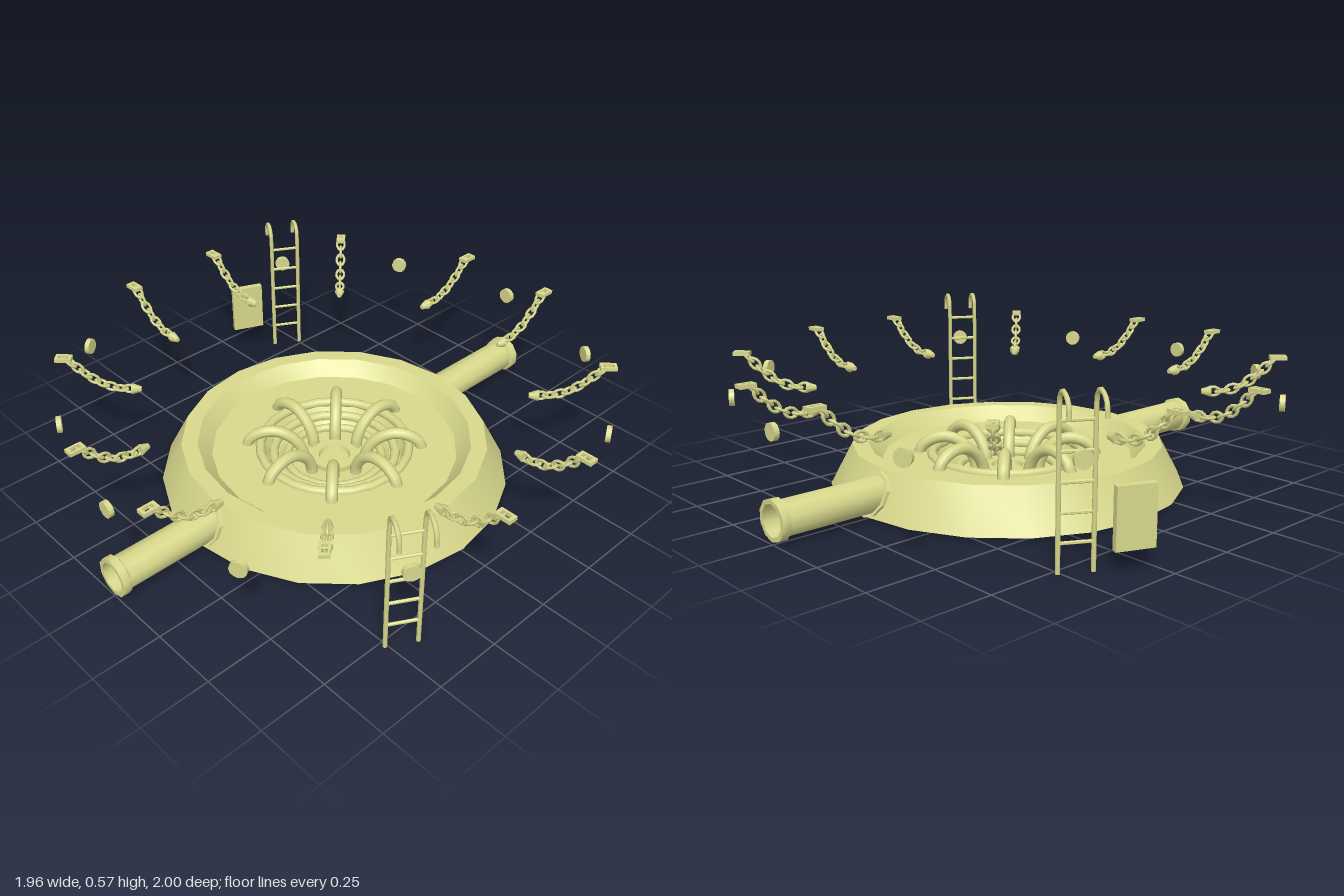
import * as THREE from 'three';
import { toCreasedNormals } from 'three/addons/utils/BufferGeometryUtils.js';

const material = new THREE.MeshStandardMaterial({ color: 0xd8d88c, side: THREE.DoubleSide });
const V = (x, y, z = 0) => new THREE.Vector3(x, y, z);

function add(parent, name, geometry, x = 0, y = 0, z = 0) {
  const mesh = new THREE.Mesh(geometry, material);
  mesh.name = name;
  mesh.position.set(x, y, z);
  parent.add(mesh);
  return mesh;
}

function group(parent, name, angle = 0) {
  const g = new THREE.Group();
  g.name = name;
  g.rotation.y = angle;
  parent.add(g);
  return g;
}

function lathe(points, sides) {
  const profile = points.map(([r, y]) => new THREE.Vector2(r, y));
  return toCreasedNormals(new THREE.LatheGeometry(profile, sides), 0.65);
}

function tube(points, radius, steps, sides) {
  return new THREE.TubeGeometry(new THREE.CatmullRomCurve3(points), steps, radius, sides);
}

// Cylinder with closed ends whose axis lies along z
const rod = (r, length, sides) => toCreasedNormals(new THREE.CylinderGeometry(r, r, length, sides).rotateX(Math.PI / 2), 0.9);

// Open-bottomed basin with a sloping wall, sunken floor and stepped centre pit
function addBasin(root) {
  const g = group(root, 'basin');
  add(g, 'basinShell', lathe([[0.65, 0.01], [0.57, 0.16], [0.51, 0.16], [0.46, 0.105], [0.3, 0.105]], 20));
  add(g, 'centrePit', lathe([
    [0.3, 0.105], [0.27, 0.1], [0.25, 0.07], [0.21, 0.065], [0.19, 0.045], [0.09, 0.04],
    [0.09, 0.06], [0.06, 0.06], [0.055, 0.045], [0, 0.045]], 20));
  for (const [r, y, t] of [[0.28, 0.105, 0.018], [0.23, 0.075, 0.018], [0.18, 0.052, 0.016]])
    add(g, 'pitRing', new THREE.TorusGeometry(r, t, 8, 24).rotateX(Math.PI / 2), 0, y, 0);
}

// Eight arched tubes curling from the floor into the pit
function addArches(root) {
  const g = group(root, 'archedTubes');
  const geometry = tube([V(0.33, 0.085), V(0.318, 0.125), V(0.27, 0.157), V(0.21, 0.161), V(0.15, 0.125), V(0.12, 0.075), V(0.115, 0.03)], 0.022, 14, 8);
  for (let i = 0; i < 8; i++) {
    add(g, 'archedTube', geometry).rotation.y = i * Math.PI / 4;
    const end = add(g, 'tubeFoot', new THREE.CylinderGeometry(0.022, 0.022, 0.01, 8));
    const a = i * Math.PI / 4;
    end.position.set(Math.cos(a) * 0.33, 0.085, -Math.sin(a) * 0.33);
  }
}

// Hollow pipe with an end flange and a collar that follows the basin wall
function addPipe(root, angle) {
  const g = group(root, 'pipe', angle);
  const profile = [[0.056, 0.56], [0.056, 1], [0.072, 1], [0.072, 0.97], [0.062, 0.965], [0.062, 0.56]].reverse();
  add(g, 'pipeBody', lathe(profile, 10).rotateX(Math.PI / 2), 0, 0.08, 0);
  const collar = rod(0.073, 0.035, 10);
  const p = collar.attributes.position;
  for (let i = 0; i < p.count; i++) p.setZ(i, p.getZ(i) - p.getY(i) * 0.5);
  collar.computeVertexNormals();
  add(g, 'pipeCollar', collar, 0, 0.08, 0.6);
}

// Sagging chain along local x, with an eye plate outside and a hook stub inside
const linkGeometry = new THREE.TorusGeometry(0.0165, 0.0055, 5, 10).scale(1.45, 1, 1);
const eyeShape = new THREE.Shape([[-0.03, -0.018], [0.03, -0.018], [0.03, 0.018], [-0.03, 0.018]].map(p => new THREE.Vector2(...p)));
eyeShape.holes.push(new THREE.Path([[-0.018, -0.009], [-0.018, 0.009], [0.018, 0.009], [0.018, -0.009]].map(p => new THREE.Vector2(...p))));
const eyeGeometry = new THREE.ExtrudeGeometry(eyeShape, { depth: 0.014, bevelEnabled: false }).rotateX(-Math.PI / 2);
const chainCurve = new THREE.CatmullRomCurve3([V(0.705, 0.345), V(0.76, 0.348), V(0.82, 0.367), V(0.88, 0.41), V(0.94, 0.47)]);

function addChain(root, angle, x, z) {
  const g = group(group(root, 'chainMount', angle), 'chain');
  g.position.set(x, 0, z);
  const count = 8;
  for (let i = 0; i < count; i++) {
    const u = (i + 0.5) / count, p = chainCurve.getPointAt(u), t = chainCurve.getTangentAt(u);
    const link = add(g, 'chainLink', linkGeometry, p.x, p.y, 0);
    link.rotation.set(i % 2 ? Math.PI / 2 : 0, 0, Math.atan2(t.y, t.x), 'ZYX');
  }
  add(g, 'chainEye', eyeGeometry, 0.95, 0.465, 0);
  const stub = new THREE.CylinderGeometry(0.01, 0.021, 0.035, 6).rotateZ(Math.PI / 2);
  add(g, 'chainStub', stub, 0.698, 0.345, 0);
}

// Ladder with hooked rails, facing outward along local x
function addLadder(root, angle) {
  const g = group(root, 'ladder', angle);
  const rail = tube([V(0.92, 0), V(0.92, 0.25), V(0.92, 0.5), V(0.927, 0.54), V(0.955, 0.559), V(0.99, 0.553), V(1.015, 0.535), V(1.022, 0.49)], 0.008, 32, 6);
  for (const s of [-1, 1]) add(g, 'ladderRail', rail, 0, 0, s * 0.055);
  for (let i = 0; i < 5; i++) add(g, 'ladderRung', rod(0.006, 0.11, 6), 0.92, 0.095 + i * 0.0925, 0);
}

export function createModel() {
  const root = new THREE.Group();
  root.name = 'poolArena';
  addBasin(root);
  addArches(root);
  for (const a of [0, Math.PI]) addPipe(root, a);

  // Chains: a pair on each side and one on each diagonal
  for (let i = 0; i < 4; i++) {
    const a = i * Math.PI / 2;
    for (const z of [-0.2, 0.2]) addChain(root, a, 0, z);
    addChain(root, a + Math.PI / 4, 0.025, 0);
  }

  // Ring of round lamps, none on the x axis
  for (let i = 0; i < 12; i++) {
    if (i % 6 === 0) continue;
    const a = i * Math.PI / 6;
    const g = group(root, 'lampMount', a);
    add(g, 'roundLamp', rod(0.03, 0.018, 12).rotateY(Math.PI / 2), 0.98, 0.365, 0);
  }

  for (const a of [-Math.PI / 6, Math.PI * 5 / 6]) addLadder(root, a);

  // Upright board beside the rear ladder
  const board = add(root, 'board', new THREE.BoxGeometry(0.024, 0.2, 0.13), -0.918, 0.178, -0.34);
  board.rotation.y = -0.41;
  return root;
}
